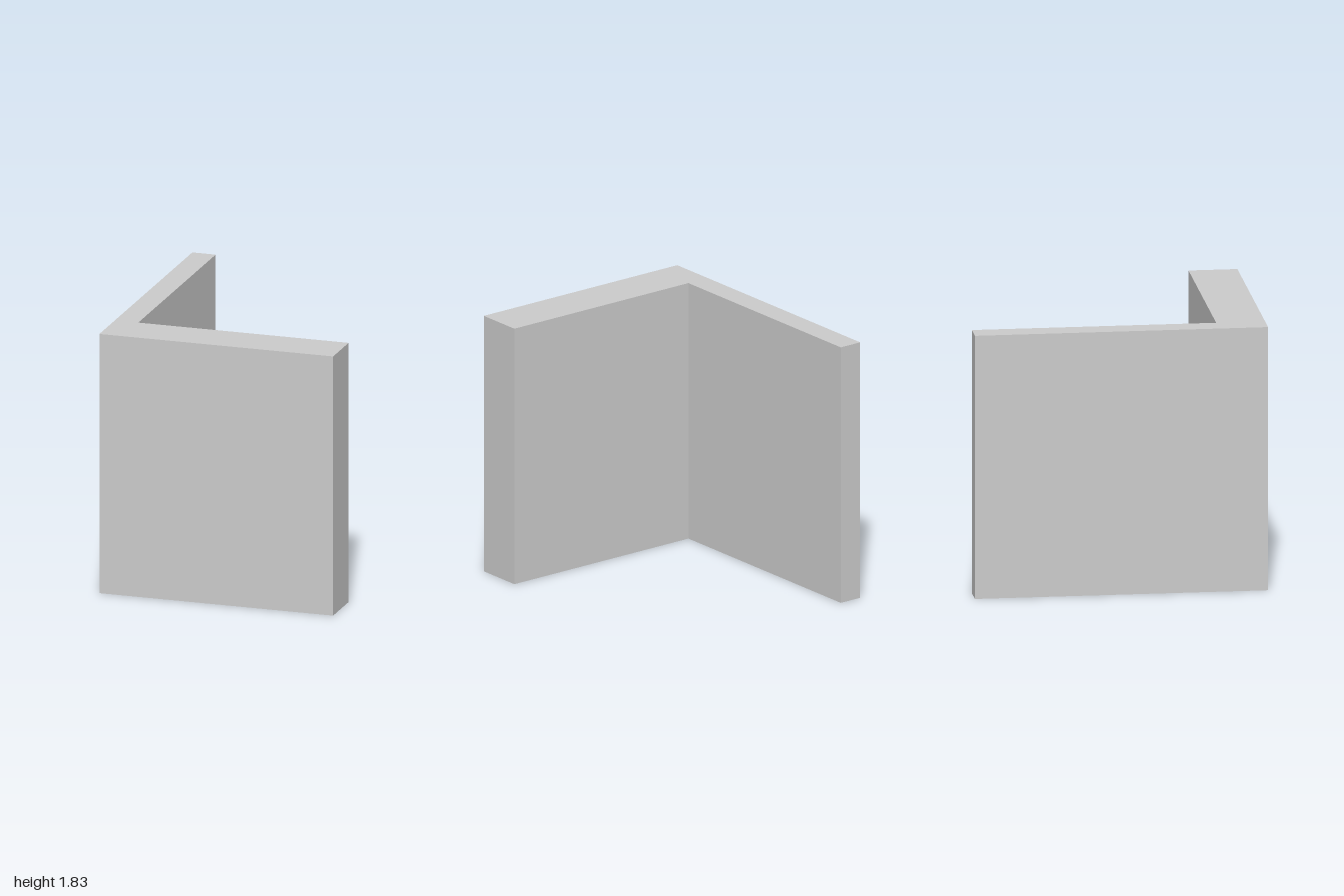
import * as THREE from 'three';

export function createModel() {
  const model = new THREE.Group();
  model.name = 'cornerWall';

  // L-shaped plan: thick front wall and thinner side wall (drawn as x, -z)
  const w = 5 / 6, inner = 2 / 3, height = 11 / 6;
  const plan = new THREE.Shape([
    [-w, -1], [w, -1], [w, -inner], [-inner, -inner], [-inner, 1], [-w, 1],
  ].map(([x, y]) => new THREE.Vector2(x, y)));

  // Raise the plan upright from the ground
  const geometry = new THREE.ExtrudeGeometry(plan, { depth: height, bevelEnabled: false });
  geometry.rotateX(-Math.PI / 2);

  const walls = new THREE.Mesh(
    geometry,
    new THREE.MeshStandardMaterial({ color: 0xcccccc, flatShading: true }),
  );
  walls.name = 'walls';
  model.add(walls);
  return model;
}
